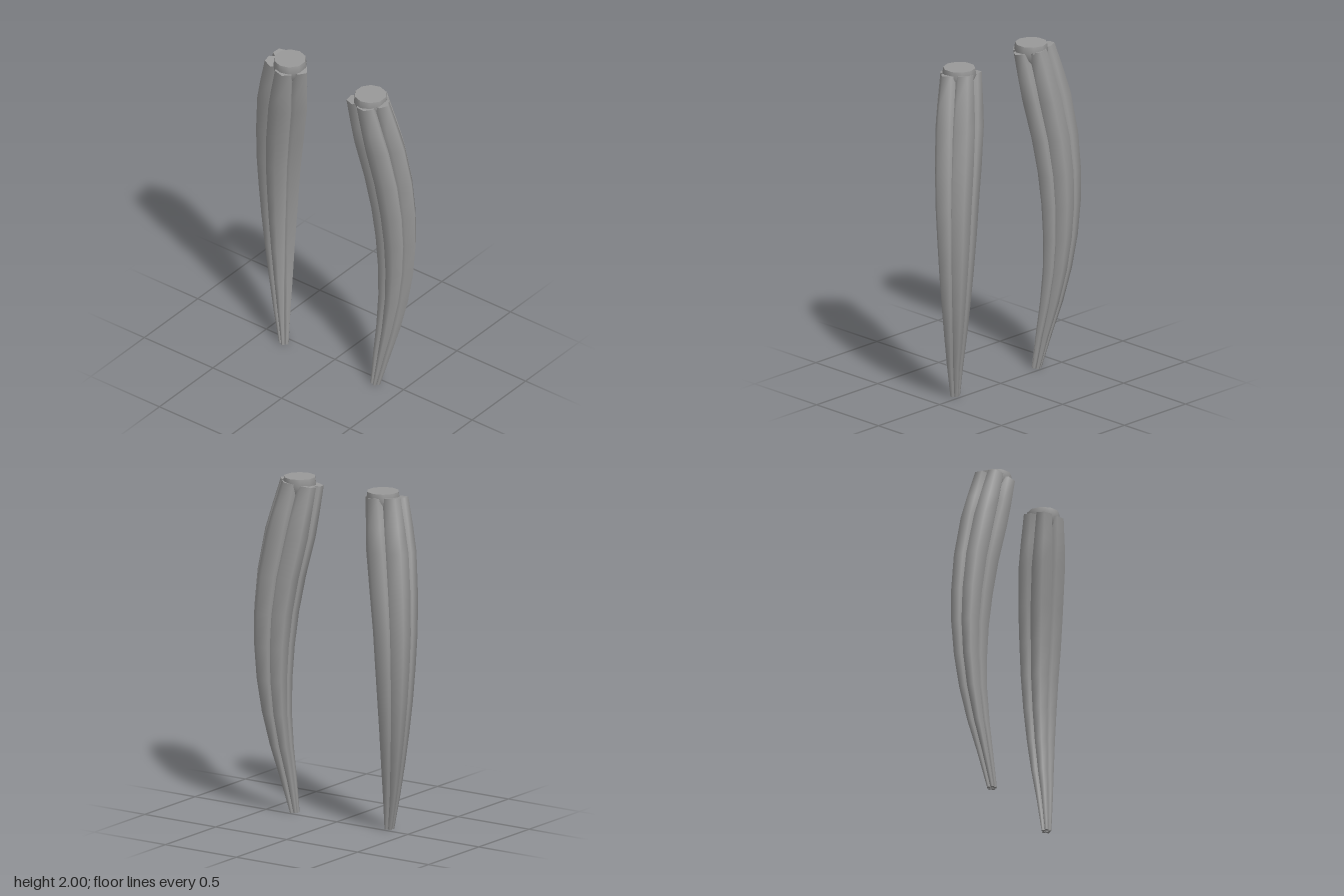
import * as THREE from 'three';

const LOBES = 5, SIDES = 6;

// Cross-sections: height, inner x, outer x, back z, front z, lobe thickness relative to its offset
const SECTIONS = [
  [0.00, 0.305, 0.362, 0.015, 0.072, 0.58],
  [0.20, 0.311, 0.415, -0.025, 0.062, 0.68],
  [0.40, 0.319, 0.465, -0.073, 0.050, 0.82],
  [0.60, 0.322, 0.506, -0.110, 0.043, 0.95],
  [0.80, 0.315, 0.535, -0.135, 0.045, 1.0],
  [1.00, 0.301, 0.551, -0.149, 0.055, 1.05],
  [1.20, 0.281, 0.555, -0.152, 0.074, 1.05],
  [1.42, 0.246, 0.543, -0.144, 0.098, 1.02],
  [1.66, 0.200, 0.510, -0.118, 0.131, 0.95],
  [1.80, 0.185, 0.474, -0.094, 0.146, 0.85],
  [1.965, 0.168, 0.428, -0.060, 0.157, 0.74],
];

// Point on the unit bundle of five six-sided lobes
function unitPoint(lobe, j, k) {
  const a = (lobe / LOBES) * Math.PI * 2;
  const b = a + (j / SIDES) * Math.PI * 2;
  return [Math.cos(a) + k * Math.cos(b), Math.sin(a) + k * Math.sin(b)];
}

// One ring of a lobe, fitted to the outline of its section
function lobeRing(lobe, side, [y, xi, xo, zb, zf, k]) {
  const all = [];
  for (let l = 0; l < LOBES; l++) for (let j = 0; j < SIDES; j++) all.push(unitPoint(l, j, k));
  const us = all.map(p => p[0]), vs = all.map(p => p[1]);
  const u0 = Math.min(...us), u1 = Math.max(...us), v0 = Math.min(...vs), v1 = Math.max(...vs);
  const x0 = side > 0 ? xi : -xo, x1 = side > 0 ? xo : -xi;
  const tilt = 0.09 * Math.max(0, (y - 1.1) / 0.87); // ends lean with the curve
  return Array.from({ length: SIDES }, (_, j) => {
    const [u, v] = unitPoint(lobe, j, k);
    const x = x0 + (x1 - x0) * (u - u0) / (u1 - u0);
    const z = zb + (zf - zb) * (v - v0) / (v1 - v0);
    const dy = tilt * (side * (x - (x0 + x1) / 2) - (z - (zb + zf) / 2));
    return [x, y + dy, z];
  });
}

function lobeGeometry(lobe, side) {
  const rings = SECTIONS.map(s => lobeRing(lobe, side, s));
  const pos = rings.flat(2), index = [];
  for (let i = 0; i < rings.length - 1; i++) {
    for (let j = 0; j < SIDES; j++) {
      const a = i * SIDES + j, b = i * SIDES + (j + 1) % SIDES;
      index.push(a, a + SIDES, b, b, a + SIDES, b + SIDES);
    }
  }
  // Flat end caps with their own vertices
  [[rings[0], false], [rings[rings.length - 1], true]].forEach(([ring, top]) => {
    const base = pos.length / 3;
    pos.push(...ring.flat());
    for (let j = 1; j < SIDES - 1; j++) {
      if (top) index.push(base, base + j + 1, base + j);
      else index.push(base, base + j, base + j + 1);
    }
  });
  const g = new THREE.BufferGeometry();
  g.setAttribute('position', new THREE.Float32BufferAttribute(pos, 3));
  g.setIndex(index);
  g.computeVertexNormals();
  return g;
}

export function createModel() {
  const model = new THREE.Group();
  model.name = 'curvedTusks';
  const grey = new THREE.MeshStandardMaterial({ color: 0x999999 });
  grey.name = 'grey';

  for (const side of [1, -1]) {
    const tusk = new THREE.Group();
    tusk.name = side > 0 ? 'leftTusk' : 'rightTusk';

    // Five lobes bundled around the curve
    for (let l = 0; l < LOBES; l++) {
      const lobe = new THREE.Mesh(lobeGeometry(l, side), grey);
      lobe.name = 'lobe' + (l + 1);
      tusk.add(lobe);
    }

    // Rounded root plug with a flat top
    const profile = [[0.05, 1.86], [0.085, 1.91], [0.099, 1.96], [0.093, 2]]
      .map(p => new THREE.Vector2(...p));
    const plug = new THREE.Mesh(new THREE.LatheGeometry(profile, 10), grey);
    plug.name = 'rootPlug';
    plug.position.set(side * 0.294, 0, 0.044);
    const cap = new THREE.Mesh(new THREE.CircleGeometry(0.093, 10, Math.PI / 2), grey);
    cap.name = 'rootCap';
    cap.rotation.x = -Math.PI / 2;
    cap.position.set(side * 0.294, 2, 0.044);
    tusk.add(plug, cap);
    model.add(tusk);
  }
  return model;
}
